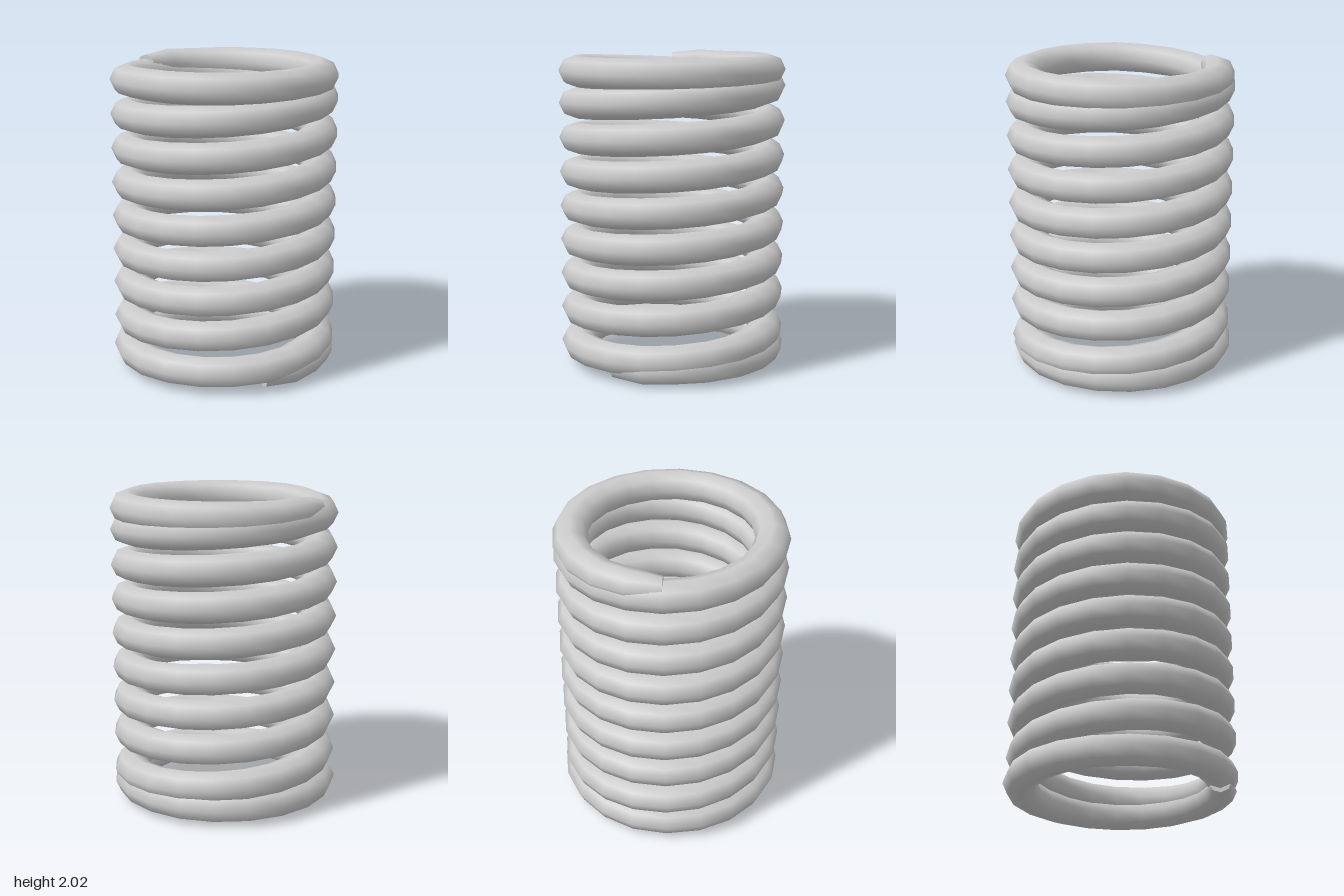
import * as THREE from 'three';

// Coil angle in degrees (0 = +x, 90 = back) and height of the wire centre there
const HEIGHTS = [
  [-17, 0.065], [20, 0.09], [180, 0.098], [270, 0.105], [360, 0.135], [540, 0.265], [720, 0.39],
  [2880, 1.735], [2970, 1.79], [3060, 1.85], [3150, 1.895], [3240, 1.902], [3400, 1.905], [3437, 1.925],
];
const START = HEIGHTS[0][0], END = HEIGHTS[HEIGHTS.length - 1][0];
const COIL_RADIUS = 0.622, WIRE_X = 0.11, WIRE_Y = 0.098;
const SIDES = 8, STEPS = 192;

function heightAt(deg) {
  let k = 1;
  while (k < HEIGHTS.length - 1 && deg > HEIGHTS[k][0]) k++;
  const [d0, y0] = HEIGHTS[k - 1], [d1, y1] = HEIGHTS[k];
  return y0 + (y1 - y0) * (deg - d0) / (d1 - d0);
}

// The wire narrows just before each cut end
function thicknessAt(deg) {
  const d = Math.min(deg - START, END - deg);
  return Math.min(1, 0.62 + 0.28 * Math.min(1, d / 12) + 0.1 * Math.min(1, d / 60));
}

function springGeometry() {
  const pos = [], index = [];

  // One octagonal cross-section of the wire
  const addRing = (deg) => {
    const t = THREE.MathUtils.degToRad(deg);
    const s = thicknessAt(deg), y = heightAt(deg);
    // the closed end turn at the bottom sits slightly wider
    const wide = 0.014 * Math.max(0, 1 - Math.abs(deg - 180) / 120);
    for (let j = 0; j < SIDES; j++) {
      const a = j / SIDES * Math.PI * 2;
      const r = COIL_RADIUS + wide + WIRE_X * s * Math.cos(a);
      pos.push(r * Math.cos(t), y + WIRE_Y * s * Math.sin(a), -r * Math.sin(t));
    }
  };

  // Wire surface
  for (let i = 0; i <= STEPS; i++) addRing(START + (END - START) * i / STEPS);
  for (let i = 0; i < STEPS; i++) {
    for (let j = 0; j < SIDES; j++) {
      const k = (j + 1) % SIDES;
      const a = i * SIDES + j, b = i * SIDES + k, c = a + SIDES, d = b + SIDES;
      index.push(a, c, b, b, c, d);
    }
  }

  // Flat cut ends with their own vertices so the rims stay sharp
  for (const deg of [START, END]) {
    const base = pos.length / 3;
    addRing(deg);
    for (let j = 1; j < SIDES - 1; j++) {
      if (deg === START) index.push(base, base + j, base + j + 1);
      else index.push(base, base + j + 1, base + j);
    }
  }

  const geometry = new THREE.BufferGeometry();
  geometry.setAttribute('position', new THREE.Float32BufferAttribute(pos, 3));
  geometry.setIndex(index);
  geometry.computeVertexNormals();
  return geometry;
}

export function createModel() {
  const group = new THREE.Group();
  group.name = 'compressionSpring';
  const coil = new THREE.Mesh(springGeometry(), new THREE.MeshStandardMaterial({ color: 0xcccccc }));
  coil.name = 'coiledWire';
  group.add(coil);
  return group;
}
